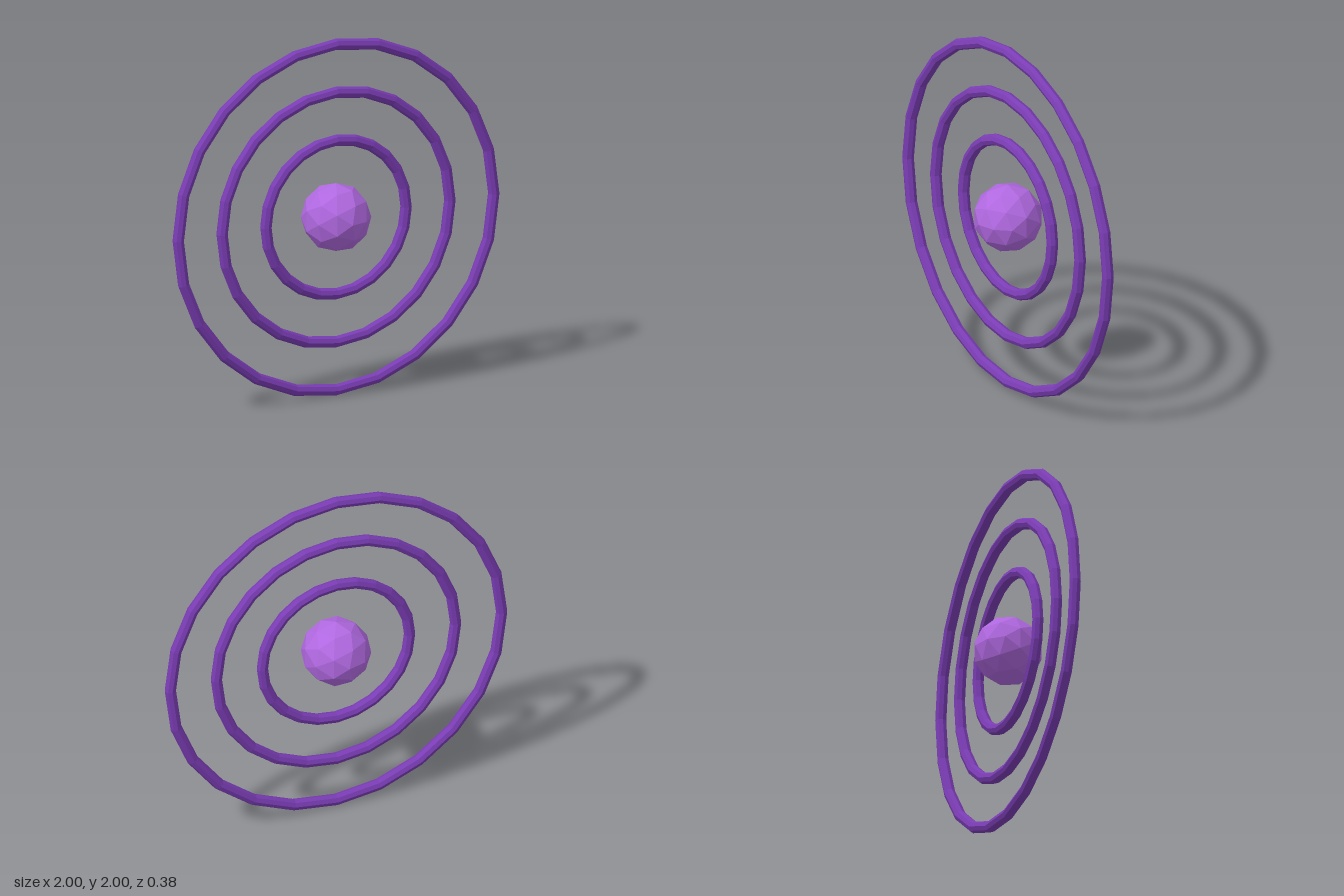
import * as THREE from 'three';

export function createModel() {
  const group = new THREE.Group();
  const ringMaterial = new THREE.MeshStandardMaterial({ color: 0x7a3cb4, flatShading: true });
  const coreMaterial = new THREE.MeshStandardMaterial({ color: 0xb068e0, flatShading: true });

  // Three concentric upright rings
  const rings = { innerRing: 0.43, middleRing: 0.699, outerRing: 0.968 };
  for (const [name, radius] of Object.entries(rings)) {
    const ring = new THREE.Mesh(new THREE.TorusGeometry(radius, 0.032, 8, 24), ringMaterial);
    ring.name = name;
    ring.position.y = 1;
    group.add(ring);
  }

  // Faceted core, turned so that a five-sided corner points to the front
  const coreGeometry = new THREE.IcosahedronGeometry(0.19, 1);
  coreGeometry.rotateX(Math.atan(2 / (1 + Math.sqrt(5))));
  coreGeometry.rotateZ(Math.PI / 2);
  const core = new THREE.Mesh(coreGeometry, coreMaterial);
  core.name = 'core';
  core.position.y = 1;
  group.add(core);

  return group;
}
